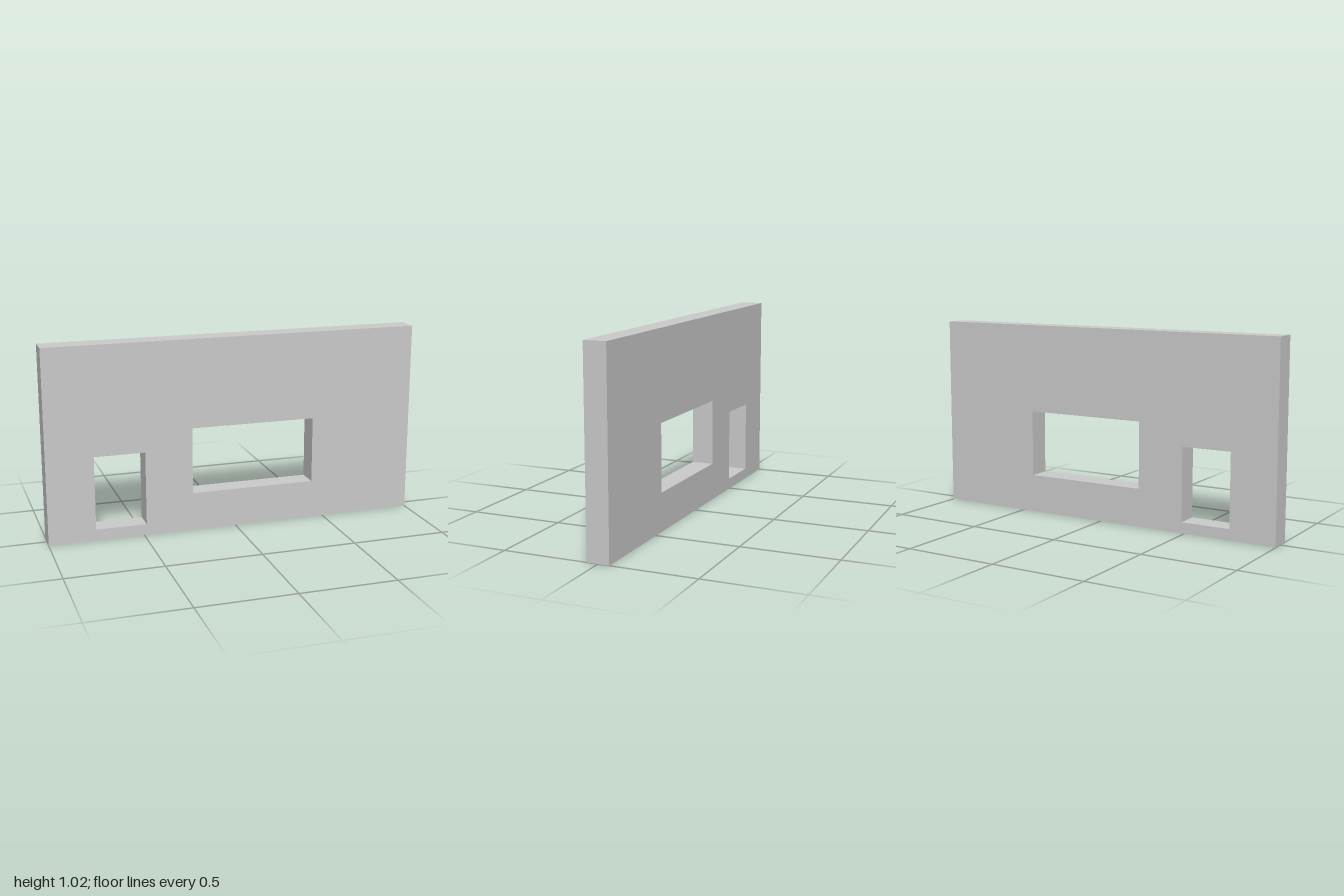
import * as THREE from 'three';

const DEPTH = 0.117;

// Trace an axis-aligned rectangle onto a shape or path
function rectangle(path, x0, y0, x1, y1) {
  path.moveTo(x0, y0);
  path.lineTo(x1, y0);
  path.lineTo(x1, y1);
  path.lineTo(x0, y1);
  path.closePath();
  return path;
}

export function createModel() {
  const group = new THREE.Group();
  group.name = 'wallPanel';

  // Wall outline with a door opening and a wide window opening
  const outline = rectangle(new THREE.Shape(), -1, 0, 1, 1.025);
  const doorOpening = rectangle(new THREE.Path(), -0.753, 0.059, -0.486, 0.449);
  const windowOpening = rectangle(new THREE.Path(), -0.234, 0.203, 0.434, 0.556);
  outline.holes.push(doorOpening, windowOpening);

  // Solid slab, centred on its thickness
  const geometry = new THREE.ExtrudeGeometry(outline, { depth: DEPTH, bevelEnabled: false });
  geometry.translate(0, 0, -DEPTH / 2);

  const wall = new THREE.Mesh(geometry, new THREE.MeshStandardMaterial({ color: 0xcccccc }));
  wall.name = 'wall';
  group.add(wall);
  return group;
}
